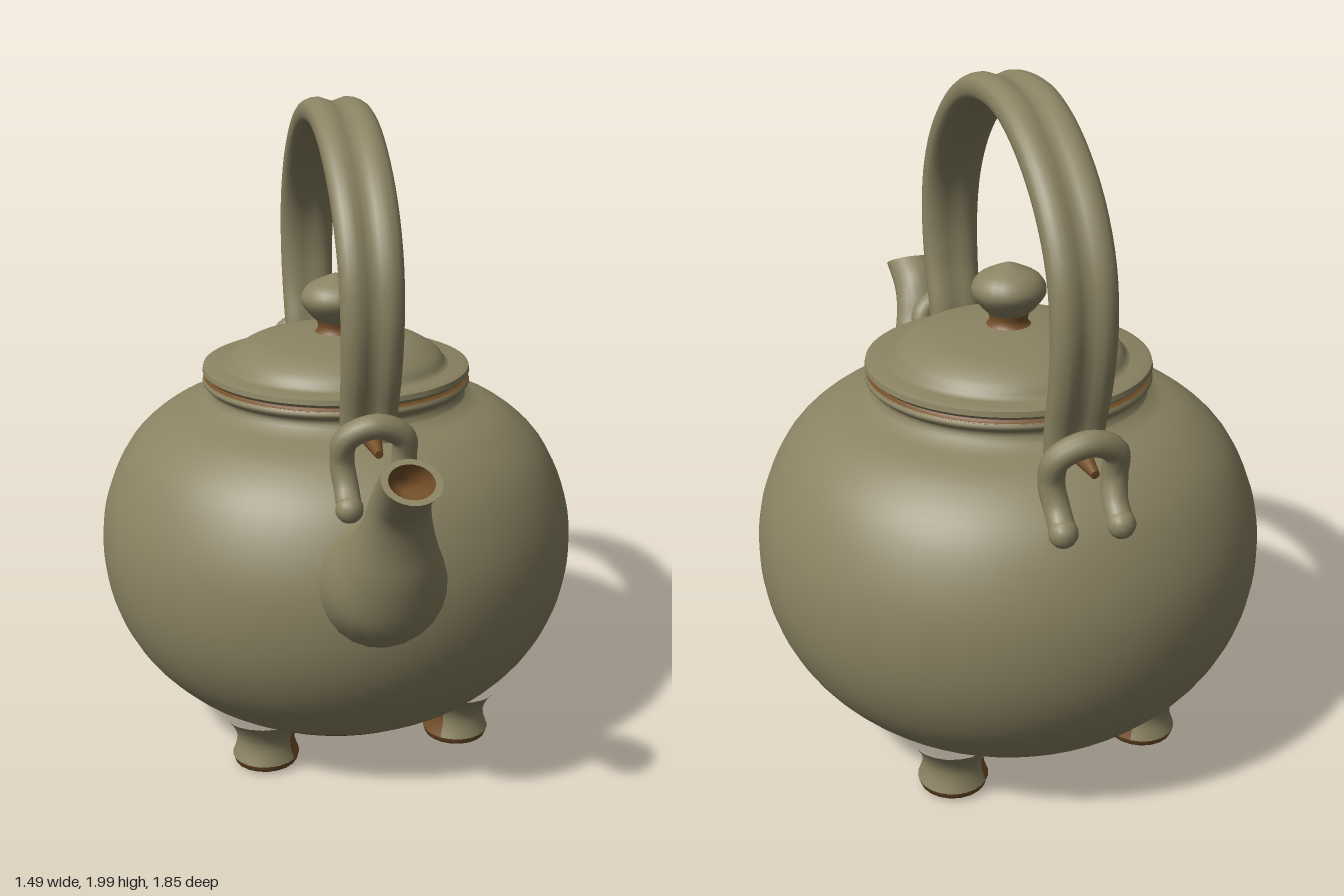
import * as THREE from 'three';
import { toCreasedNormals } from 'three/addons/utils/BufferGeometryUtils.js';

const CZ = -0.18; // pot axis

export function createModel() {
  const model = new THREE.Group();
  model.name = 'teapot';
  const glaze = new THREE.MeshStandardMaterial({ color: 0x8a8262 });
  glaze.name = 'olive glaze';
  const clay = new THREE.MeshStandardMaterial({ color: 0x744f28 });
  clay.name = 'bare brown clay';

  const add = (name, geo, mat, parent = model) => {
    const mesh = new THREE.Mesh(geo, mat);
    mesh.name = name;
    parent.add(mesh);
    return mesh;
  };
  const pts = (list) => list.map(([x, y]) => new THREE.Vector2(x, y));
  const smooth = (list, n) => new THREE.SplineCurve(pts(list)).getPoints(n);

  // Skin a list of closed cross-sections with equal point counts
  const loft = (rings) => {
    const n = rings[0].length;
    const pos = rings.flat().flatMap((p) => [p.x, p.y, p.z]);
    const index = [];
    for (let i = 0; i < rings.length - 1; i++) {
      for (let j = 0; j < n; j++) {
        const a = i * n + j, b = i * n + (j + 1) % n;
        index.push(a, b, a + n, b, b + n, a + n);
      }
    }
    const geo = new THREE.BufferGeometry();
    geo.setAttribute('position', new THREE.Float32BufferAttribute(pos, 3));
    geo.setIndex(index);
    geo.computeVertexNormals();
    return geo;
  };
  // Shrink a ring toward its centre and shift it
  const inset = (ring, k, shift = new THREE.Vector3()) => {
    const c = ring.reduce((s, p) => s.add(p), new THREE.Vector3()).divideScalar(ring.length);
    return ring.map((p) => p.clone().sub(c).multiplyScalar(k).add(c).add(shift));
  };

  // Everything turned on the pot axis
  const pot = new THREE.Group();
  pot.name = 'pot';
  pot.position.z = CZ;
  model.add(pot);

  const bodyProfile = smooth([
    [0.43, 0.115], [0.54, 0.185], [0.65, 0.305], [0.72, 0.45], [0.745, 0.61],
    [0.725, 0.77], [0.65, 0.93], [0.54, 1.03], [0.43, 1.075],
  ], 36).concat(smooth([[0.405, 1.09], [0.395, 1.115], [0.415, 1.135], [0.41, 1.15]], 9));
  add('body', new THREE.LatheGeometry(bodyProfile, 64), glaze, pot);
  add('base', new THREE.LatheGeometry(pts([[0, 0.12], [0.36, 0.112], [0.435, 0.115], [0.452, 0.13]]), 64), clay, pot);
  add('lidSeam', new THREE.LatheGeometry(pts([[0.412, 1.148], [0.395, 1.152], [0.395, 1.163]]), 64), clay, pot);

  // Lid with raised rim
  const lidProfile = pts([[0.39, 1.158], [0.405, 1.16], [0.415, 1.17], [0.412, 1.185], [0.395, 1.192], [0.35, 1.188]])
    .concat(smooth([[0.34, 1.195], [0.315, 1.225], [0.25, 1.26], [0.15, 1.277], [0.05, 1.285], [0, 1.285]], 18));
  add('lid', toCreasedNormals(new THREE.LatheGeometry(lidProfile, 64), 0.7), glaze, pot);
  add('knobNeck', new THREE.LatheGeometry(smooth([[0.075, 1.275], [0.056, 1.295], [0.06, 1.325]], 6), 24), clay, pot);
  add('knob', new THREE.LatheGeometry(smooth([
    [0.055, 1.315], [0.085, 1.345], [0.108, 1.385], [0.09, 1.425], [0.045, 1.45], [0.0, 1.468],
  ], 18), 24), glaze, pot);

  // Feet: glazed outside, bare clay inside and underneath
  const legProfile = smooth([[0.103, 0.035], [0.09, 0.075], [0.092, 0.115], [0.12, 0.165], [0.15, 0.19]], 10);
  const soleProfile = pts([[0, 0.004], [0.075, 0.004], [0.097, 0.016], [0.103, 0.035]]);
  for (let i = 0; i < 4; i++) {
    const a = Math.PI / 4 + (i * Math.PI) / 2 + 0.08;
    const foot = new THREE.Group();
    foot.name = 'foot';
    foot.position.set(Math.sin(a) * 0.44, 0, Math.cos(a) * 0.44);
    foot.rotation.y = a;
    add('footOuter', new THREE.LatheGeometry(legProfile, 12, -Math.PI / 2, Math.PI), glaze, foot);
    add('footInner', new THREE.LatheGeometry(legProfile, 12, Math.PI / 2, Math.PI), clay, foot);
    add('footSole', new THREE.LatheGeometry(soleProfile, 20), clay, foot);
    pot.add(foot);
  }

  // Spout: each section is [upper z, y, lower z, y, half width]
  const sections = [
    [0.36, 0.93, 0.46, 0.53, 0.19], [0.46, 0.925, 0.57, 0.57, 0.18], [0.52, 0.93, 0.69, 0.66, 0.163],
    [0.58, 0.96, 0.738, 0.80, 0.13], [0.635, 1.015, 0.75, 0.92, 0.1], [0.675, 1.09, 0.775, 1.01, 0.083],
    [0.72, 1.155, 0.835, 1.065, 0.075], [0.785, 1.2, 0.925, 1.128, 0.078],
  ];
  const curveU = new THREE.SplineCurve(sections.map((s) => new THREE.Vector2(s[0], s[1])));
  const curveL = new THREE.SplineCurve(sections.map((s) => new THREE.Vector2(s[2], s[3])));
  const curveW = new THREE.SplineCurve(sections.map((s, i) => new THREE.Vector2(i, s[4])));
  const spoutRings = [];
  for (let i = 0; i <= 28; i++) {
    const u = curveU.getPoint(i / 28), l = curveL.getPoint(i / 28), w = curveW.getPoint(i / 28).y;
    spoutRings.push(Array.from({ length: 24 }, (_, j) => {
      const t = (j / 24) * Math.PI * 2, k = (1 + Math.sin(t)) / 2;
      return new THREE.Vector3(Math.cos(t) * w, l.y + (u.y - l.y) * k, l.x + (u.x - l.x) * k);
    }));
  }
  const tip = spoutRings[28];
  const mouth = inset(tip, 0.76);
  add('spout', loft(spoutRings), glaze);
  add('spoutLip', loft([tip, mouth]), glaze);
  const depth = new THREE.Vector3(0, -0.05, -0.07);
  add('spoutInside', loft([mouth, inset(mouth, 0.75, depth), inset(mouth, 0, depth)]), clay);

  // Arched handle, swept from back to front, grooved along its outer side
  const half = [[1.1, 0.5], [1.18, 0.51], [1.3, 0.54], [1.45, 0.553], [1.6, 0.525], [1.74, 0.44], [1.86, 0.3], [1.93, 0.15]];
  const arch = new THREE.CatmullRomCurve3([
    ...half.map(([y, d]) => new THREE.Vector3(0, y, CZ - d)),
    new THREE.Vector3(0, 1.95, CZ),
    ...half.slice().reverse().map(([y, d]) => new THREE.Vector3(0, y, CZ + d)),
  ]);
  const handleRings = [];
  for (let i = 0; i <= 64; i++) {
    const c = arch.getPoint(i / 64), t = arch.getTangent(i / 64);
    const w = 0.079 + 0.016 * Math.sin((i / 64) * Math.PI);
    handleRings.push(Array.from({ length: 28 }, (_, j) => {
      const a = (j / 28) * Math.PI * 2, s = Math.sin(a), x = Math.cos(a);
      const n = 0.047 * Math.sign(s) * Math.pow(Math.abs(s), 0.7) - (s > 0 ? 0.02 : 0.008) * s * Math.exp(-x * x * 9);
      return new THREE.Vector3(x * w, c.y + t.z * n, c.z - t.y * n);
    }));
  }
  add('handle', loft(handleRings), glaze);
  add('handleEndBack', loft([inset(handleRings[0], 0), handleRings[0]]), clay);
  add('handleEndFront', loft([handleRings[64], inset(handleRings[64], 0)]), clay);

  // Lugs on the shoulders, each with a pin from the handle end
  const lugSide = [[0.08, 0.94, 0.645], [0.08, 0.99, 0.595], [0.088, 1.06, 0.572], [0.08, 1.13, 0.59]];
  const lugPath = new THREE.CatmullRomCurve3([
    ...lugSide.map(([x, y, z]) => new THREE.Vector3(-x, y, z)),
    new THREE.Vector3(0, 1.168, 0.605),
    ...lugSide.slice().reverse().map(([x, y, z]) => new THREE.Vector3(x, y, z)),
  ]);
  for (const side of [0, Math.PI]) {
    const lug = new THREE.Group();
    lug.name = side ? 'backLug' : 'frontLug';
    lug.rotation.y = side;
    add('lugLoop', new THREE.TubeGeometry(lugPath, 40, 0.036, 12), glaze, lug);
    for (const sx of [-1, 1]) {
      add('lugFoot', new THREE.SphereGeometry(0.04, 14, 10), glaze, lug).position.set(sx * 0.08, 0.945, 0.64);
    }
    const pin = add('handlePin', new THREE.CylinderGeometry(0.012, 0.036, 0.15, 12), clay, lug);
    pin.position.set(0, 1.112, 0.575);
    pin.rotation.x = Math.PI / 2 + 0.15;
    pot.add(lug);
  }
  return model;
}
